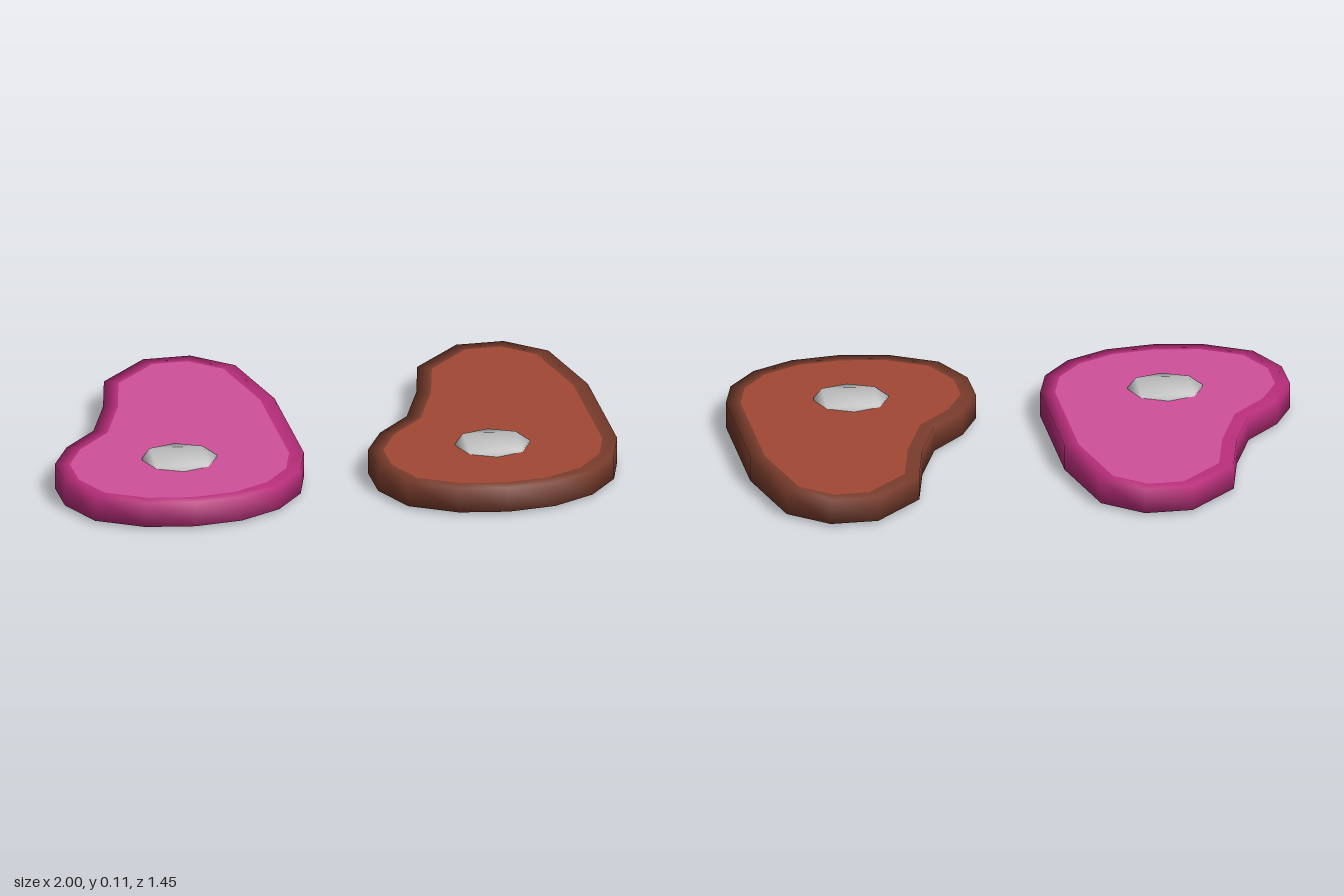
import * as THREE from 'three';
import { mergeVertices } from 'three/addons/utils/BufferGeometryUtils.js';

const BOTTOM = 0.01, TOP = 0.1, RIM_WIDTH = 0.052;

// Pear-shaped outline as [x, z], clockwise seen from above
const outer = [
  [0, -0.71], [0.17, -0.725], [0.315, -0.61], [0.41, -0.265], [0.443, 0.28], [0.41, 0.445],
  [0.315, 0.59], [0.17, 0.685], [0, 0.72], [-0.175, 0.705], [-0.345, 0.62], [-0.43, 0.455],
  [-0.443, 0.28], [-0.38, 0.12], [-0.265, -0.03], [-0.2, -0.265], [-0.165, -0.51],
].map(([x, z]) => new THREE.Vector2(x, z));

// Inward normal of the edge a -> b
function edgeNormal(a, b) {
  const d = b.clone().sub(a).normalize();
  return new THREE.Vector2(-d.y, d.x);
}

// Mitred inset of a closed outline
function inset(points, width) {
  const n = points.length;
  return points.map((p, i) => {
    const n1 = edgeNormal(points[(i + n - 1) % n], p);
    const n2 = edgeNormal(p, points[(i + 1) % n]);
    const s = width / (1 + n1.dot(n2));
    return p.clone().add(n1.add(n2).multiplyScalar(s));
  });
}
const inner = inset(outer, RIM_WIDTH);

// Upright prism over an [x, z] outline
function prism(points, y0, y1) {
  const shape = new THREE.Shape(points.map((p) => new THREE.Vector2(p.x, -p.y)));
  const geo = new THREE.ExtrudeGeometry(shape, { depth: y1 - y0, bevelEnabled: false });
  return geo.rotateX(-Math.PI / 2).translate(0, y0, 0);
}

// Rim: top border, side wall and bottom border with shared, smooth normals
function rimGeometry() {
  const rings = [[inner, TOP], [outer, TOP], [outer, BOTTOM], [inner, BOTTOM]];
  const n = outer.length, positions = [], index = [];
  rings.forEach(([points, y]) => points.forEach((p) => positions.push(p.x, y, p.y)));
  for (let k = 0; k < rings.length - 1; k++) {
    for (let i = 0; i < n; i++) {
      const j = (i + 1) % n, a = k * n, b = a + n;
      index.push(a + i, a + j, b + i, a + j, b + j, b + i);
    }
  }
  const geo = new THREE.BufferGeometry();
  geo.setAttribute('position', new THREE.Float32BufferAttribute(positions, 3));
  geo.setIndex(index);
  geo.computeVertexNormals();
  return geo;
}

// Octagonal stud through the slab, softly shaded across its edges
function studGeometry() {
  const points = [];
  for (let i = 0; i < 8; i++) {
    const a = (i / 8) * Math.PI * 2;
    points.push(new THREE.Vector2(0.133 * Math.cos(a), 0.28 + 0.133 * Math.sin(a)));
  }
  let geo = prism(points, 0, 0.107);
  geo.deleteAttribute('uv');
  geo.deleteAttribute('normal');
  geo = mergeVertices(geo, 1e-4);
  geo.computeVertexNormals();
  return geo;
}

function addMesh(group, name, geometry, color) {
  const mesh = new THREE.Mesh(geometry, new THREE.MeshStandardMaterial({ color }));
  mesh.name = name;
  group.add(mesh);
}

function createSlab(name, x, faceColor, rimColor) {
  const slab = new THREE.Group();
  slab.name = name;
  addMesh(slab, 'rim', rimGeometry(), rimColor);
  addMesh(slab, 'core', prism(inner, BOTTOM, TOP), faceColor);
  addMesh(slab, 'stud', studGeometry(), 0xcccccc);
  slab.position.x = x;
  return slab;
}

export function createModel() {
  const model = new THREE.Group();
  model.name = 'slabPair';
  model.add(createSlab('rightPinkSlab', -0.557, 0xd0509a, 0xbc2f7d));
  model.add(createSlab('leftBrownSlab', 0.557, 0xa24835, 0x7a3d2d));
  return model;
}
